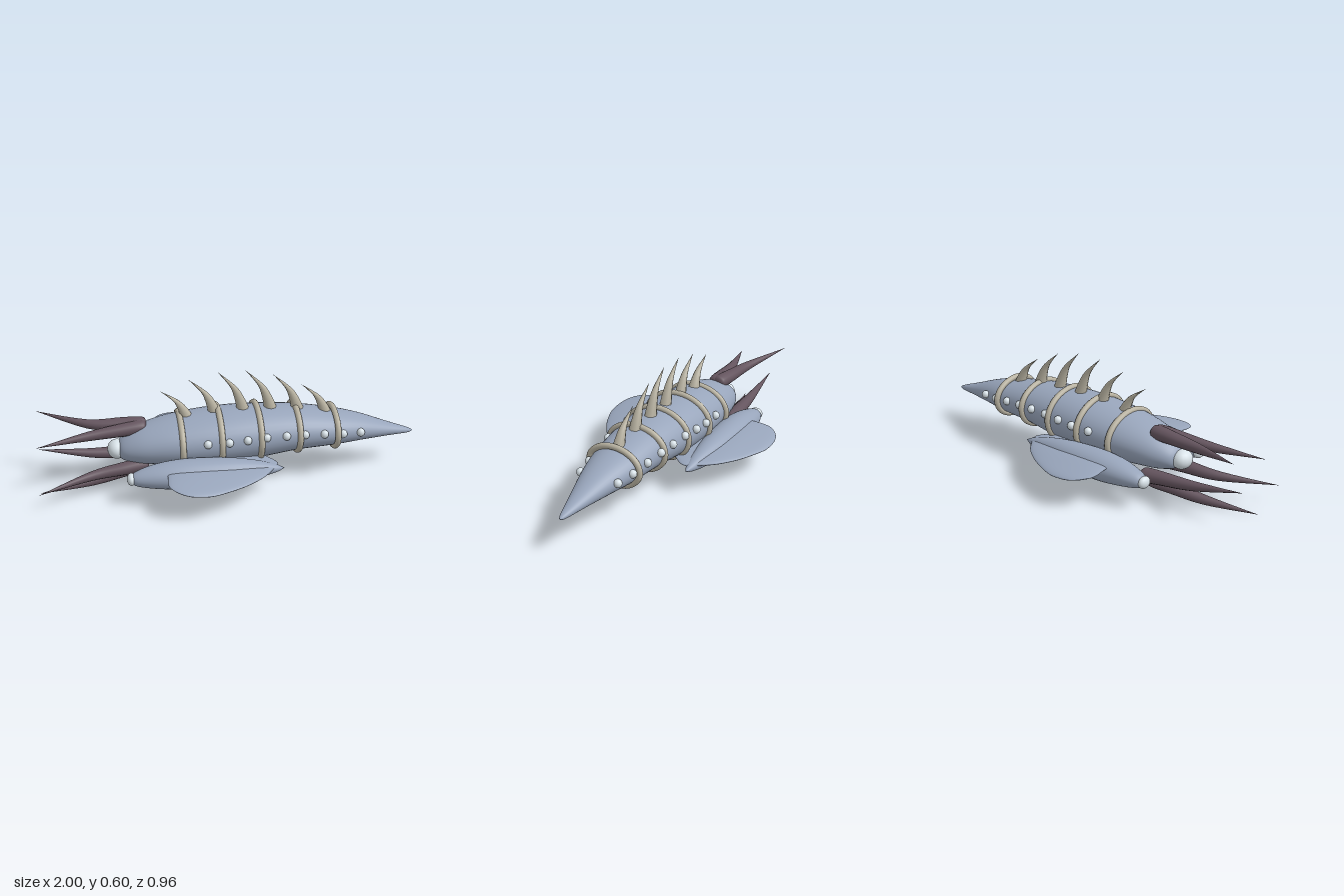
import * as THREE from 'three';

const mat = (color) => new THREE.MeshStandardMaterial({ color });
const hull = mat(0x98a5bb), bone = mat(0xb9b3a2), dark = mat(0x64545e), pale = mat(0xd8e2e8);

// Catmull-Rom resampling of a list of cross-sections
function refine(list, steps) {
  const out = [], n = list.length - 1;
  for (let s = 0; s <= n * steps; s++) {
    const i = Math.min(Math.floor(s / steps), n - 1), t = s / steps - i;
    const p0 = list[Math.max(i - 1, 0)], p1 = list[i], p2 = list[i + 1], p3 = list[Math.min(i + 2, n)];
    out.push(p1.map((b, k) => {
      const m1 = (p2[k] - p0[k]) / 2, m2 = (p3[k] - b) / 2, d = p2[k] - b;
      return b + m1 * t + (3 * d - 2 * m1 - m2) * t * t + (m1 + m2 - 2 * d) * t * t * t;
    }));
  }
  return out;
}

// Skin over elliptical sections [t, a, b, radiusA, radiusB];
// (t, a, b) is (x, y, z), (y, z, x) or (z, x, y), following the axis
function loft(sections, axis = 'x', sides = 24, steps = 5) {
  const rows = refine(sections, steps), pos = [], idx = [];
  const put = (t, a, b) => pos.push(...(axis === 'x' ? [t, a, b] : axis === 'y' ? [b, t, a] : [a, b, t]));
  for (const [t, a, b, ra, rb] of rows) {
    for (let j = 0; j < sides; j++) {
      const w = (j / sides) * Math.PI * 2;
      put(t, a + Math.max(ra, 0.0005) * Math.cos(w), b + Math.max(rb, 0.0005) * Math.sin(w));
    }
  }
  const flip = rows[rows.length - 1][0] < rows[0][0];
  const tri = (p, q, r) => idx.push(...(flip ? [p, r, q] : [p, q, r]));
  for (let i = 0; i < rows.length - 1; i++) {
    for (let j = 0; j < sides; j++) {
      const k = (j + 1) % sides, p = i * sides, q = p + sides;
      tri(p + j, p + k, q + k);
      tri(p + j, q + k, q + j);
    }
  }
  const g = new THREE.BufferGeometry();
  g.setAttribute('position', new THREE.Float32BufferAttribute(pos, 3));
  g.setIndex(idx);
  g.computeVertexNormals();
  return g;
}

export function createModel() {
  const model = new THREE.Group();
  const add = (name, geometry, material) => {
    const mesh = new THREE.Mesh(geometry, material);
    mesh.name = name;
    model.add(mesh);
    return mesh;
  };
  const ball = (name, x, y, z, rx, ry, rz) => {
    const mesh = add(name, new THREE.SphereGeometry(1, 16, 12), pale);
    mesh.position.set(x, y, z);
    mesh.scale.set(rx, ry, rz);
  };

  // Main body, nose towards +x
  add('body', loft([
    [-0.59, 0.215, 0, 0, 0], [-0.575, 0.218, 0, 0.05, 0.07], [-0.5, 0.232, 0, 0.088, 0.12],
    [-0.4, 0.245, 0, 0.11, 0.152], [-0.265, 0.255, 0, 0.127, 0.175], [-0.065, 0.264, 0, 0.139, 0.186],
    [0.14, 0.27, 0, 0.135, 0.177], [0.345, 0.276, 0, 0.115, 0.158], [0.55, 0.264, 0, 0.092, 0.133],
    [0.7, 0.25, 0, 0.068, 0.097], [0.85, 0.226, 0, 0.037, 0.053], [0.97, 0.206, 0, 0.014, 0.018], [1, 0.203, 0, 0, 0],
  ], 'x', 36), hull);

  // Rib hoops around the body: x, centre y, half height, half width
  for (const [x, y, ry, rz] of [
    [-0.265, 0.253, 0.129, 0.18], [-0.065, 0.266, 0.142, 0.189], [0.14, 0.271, 0.138, 0.18],
    [0.345, 0.278, 0.118, 0.164], [0.55, 0.268, 0.102, 0.145],
  ]) {
    const pts = Array.from({ length: 24 }, (_, i) => {
      const w = (i / 24) * Math.PI * 2;
      return new THREE.Vector3(x, y + ry * Math.cos(w), rz * Math.sin(w));
    });
    add('ribHoop', new THREE.TubeGeometry(new THREE.CatmullRomCurve3(pts, true), 64, 0.016, 10, true), bone);
  }

  // Swept back spines: tip x, tip y, base y
  for (const [x, tip, base] of [
    [-0.36, 0.525, 0.37], [-0.215, 0.58, 0.385], [-0.065, 0.613, 0.39],
    [0.08, 0.613, 0.39], [0.225, 0.58, 0.375], [0.375, 0.515, 0.345],
  ]) {
    const h = tip - base, b = x + 0.135;
    add('backSpine', loft([
      [base, 0, b, 0.033, 0.034], [base + h * 0.3, 0, b - 0.02, 0.026, 0.026],
      [base + h * 0.62, 0, b - 0.055, 0.016, 0.016], [tip, 0, x, 0, 0],
    ], 'y', 8, 4), bone);
  }

  // Tapering tail tentacles: base y, z, middle y, z, tip y, z
  for (const [y0, z0, y1, z1, y2, z2] of [
    [0.333, -0.035, 0.335, -0.07, 0.375, -0.18],
    [0.327, -0.01, 0.312, 0.03, 0.3, 0.1],
    [0.13, -0.115, 0.15, -0.1, 0.195, -0.09],
    [0.145, 0.06, 0.125, 0.115, 0.11, 0.245],
    [0.08, -0.055, 0.035, 0.005, 0.02, 0.068],
  ]) {
    add('tailTentacle', loft([
      [-0.435, y0, z0, 0, 0], [-0.442, y0, z0, 0.028, 0.03], [-0.47, y0, z0, 0.037, 0.042],
      [-0.56, (y0 * 2 + y1) / 3, (z0 * 2 + z1) / 3, 0.034, 0.038],
      [-0.74, y1, z1, 0.024, 0.025], [-1, y2, z2, 0, 0],
    ], 'x', 14), dark);
  }

  // Tail orb
  ball('tailOrb', -0.595, 0.215, 0, 0.05, 0.05, 0.06);

  for (const s of [1, -1]) {
    // Side pod with its rear orb
    add('sidePod', loft([
      [-0.53, 0.155, s * 0.23, 0, 0], [-0.52, 0.155, s * 0.23, 0.033, 0.038], [-0.4, 0.162, s * 0.23, 0.062, 0.075],
      [-0.25, 0.164, s * 0.23, 0.074, 0.089], [-0.05, 0.165, s * 0.23, 0.065, 0.076],
      [0.1, 0.161, s * 0.228, 0.045, 0.051], [0.2, 0.156, s * 0.226, 0.022, 0.025], [0.25, 0.153, s * 0.225, 0, 0],
    ], 'x', 28), hull);
    ball('podOrb', -0.537, 0.155, s * 0.23, 0.023, 0.031, 0.038);

    // Broad flipper: z, rear x, front x, y, half thickness
    const fin = loft([
      [0.12, -0.2, 0.17, 0.19, 0.017], [0.19, -0.31, 0.22, 0.189, 0.02], [0.25, -0.35, 0.19, 0.186, 0.022],
      [0.33, -0.362, 0.125, 0.181, 0.021], [0.4, -0.36, 0.03, 0.174, 0.016], [0.45, -0.32, -0.07, 0.168, 0.011],
      [0.475, -0.27, -0.14, 0.163, 0.006], [0.482, -0.22, -0.19, 0.161, 0],
    ].map(([z, x0, x1, y, t]) => [s * z, (x0 + x1) / 2, y, (x1 - x0) / 2, t]), 'z', 28);
    const p = fin.attributes.position;
    for (let i = 0; i < p.count; i++) p.setY(i, p.getY(i) - 0.06 * (p.getX(i) + 0.12));
    fin.computeVertexNormals();
    add('flipper', fin, hull);

    // Row of studs along the flank: x, y, z
    for (const [x, y, z] of [
      [-0.14, 0.295, 0.183], [-0.03, 0.297, 0.186], [0.065, 0.302, 0.183], [0.165, 0.305, 0.173], [0.27, 0.302, 0.165],
      [0.37, 0.298, 0.156], [0.475, 0.288, 0.144], [0.58, 0.273, 0.126], [0.68, 0.265, 0.107],
    ]) ball('flankStud', x, y, s * z, 0.021, 0.022, 0.021);
  }
  return model;
}
